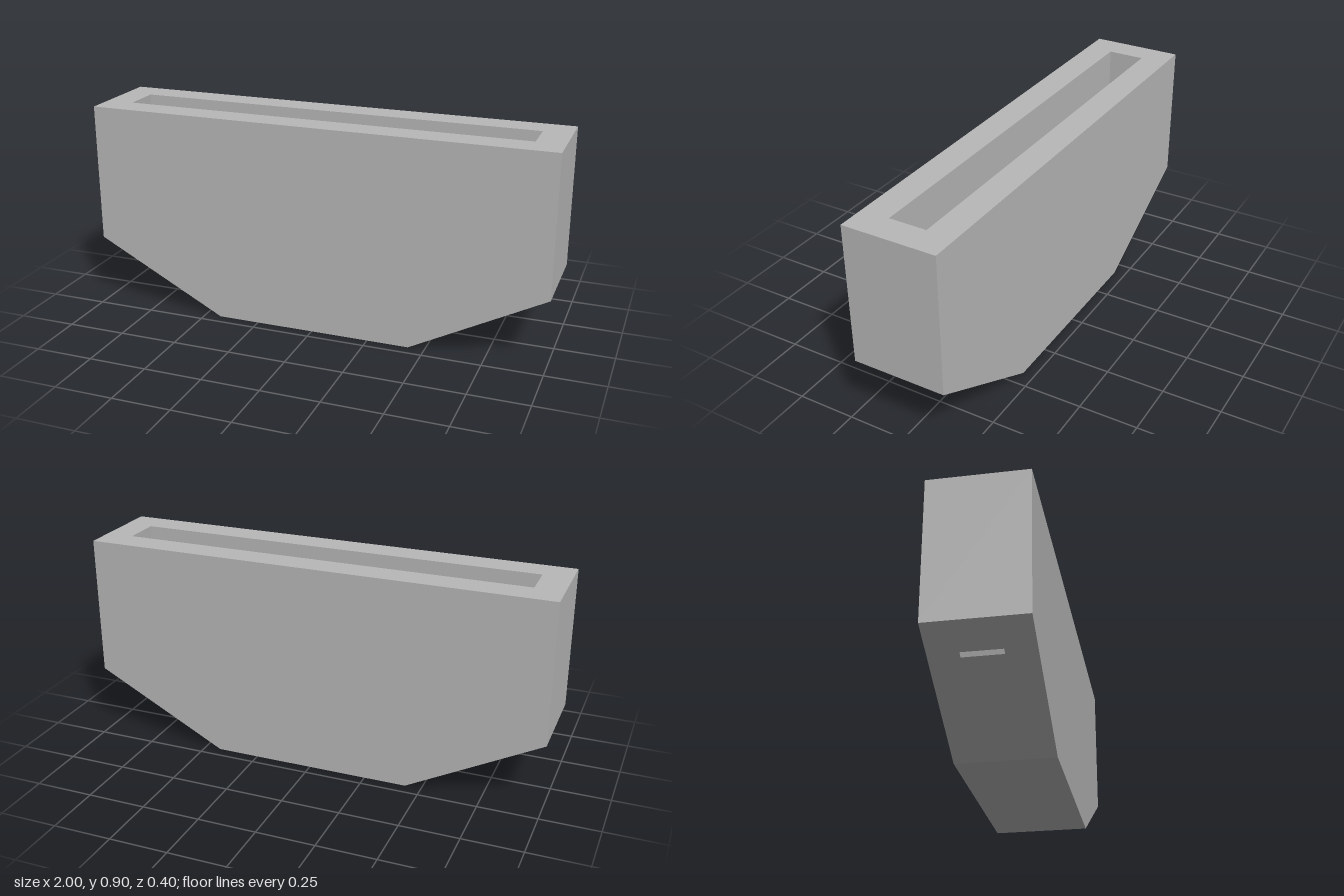
import * as THREE from 'three';
import { mergeGeometries } from 'three/addons/utils/BufferGeometryUtils.js';

// Main dimensions
const W = 1, H = 0.9, D = 0.2;          // half width, height, half depth
const SHOULDER = 0.3, FOOT = 0.43;      // start of the slope, half width of the base
const CX = 0.88, CZ = 0.08;             // half size of the pocket
const SX = 0.86;                        // half width of the pocket floor
const slopeY = x => SHOULDER * (x - FOOT) / (W - FOOT);
const FLOOR = slopeY(SX);

const rect = (u0, u1, v0, v1) => [[u0, v0], [u1, v0], [u1, v1], [u0, v1]];
const vecs = pts => pts.map(p => new THREE.Vector2(...p));

// Flat face: a 2D outline with an optional hole, placed in space by map(u, v) and facing dir
function face(outline, map, dir, hole) {
  const shape = new THREE.Shape(vecs(outline));
  if (hole) shape.holes.push(new THREE.Path(vecs(hole)));
  const g = new THREE.ShapeGeometry(shape);
  const p = g.attributes.position;
  for (let i = 0; i < p.count; i++) p.setXYZ(i, ...map(p.getX(i), p.getY(i)));
  g.computeVertexNormals();
  const n = new THREE.Vector3().fromBufferAttribute(g.attributes.normal, 0);
  if (n.dot(new THREE.Vector3(...dir)) < 0) {
    g.setIndex(Array.from(g.index.array).reverse());
    g.computeVertexNormals();
  }
  return g;
}

export function createModel() {
  const group = new THREE.Group();
  const grey = new THREE.MeshStandardMaterial({ color: 0xb8b8b8 });
  grey.name = 'plain grey';
  const add = (name, faces) => {
    const mesh = new THREE.Mesh(mergeGeometries(faces), grey);
    mesh.name = name;
    group.add(mesh);
  };

  const outline = [[-FOOT, 0], [FOOT, 0], [W, SHOULDER], [W, H], [-W, H], [-W, SHOULDER]];
  const pocket = [[-SX, FLOOR], [SX, FLOOR], [CX, slopeY(CX)], [CX, H], [-CX, H], [-CX, slopeY(CX)]];
  const flat = y => (u, v) => [u, y, v];

  // Outer shell: rim and base, then the mirrored panels, ends and slotted slopes
  const shell = [
    face(rect(-W, W, -D, D), flat(H), [0, 1, 0], rect(-CX, CX, -CZ, CZ)),
    face(rect(-FOOT, FOOT, -D, D), flat(0), [0, -1, 0]),
  ];
  // Pocket: floor, then the mirrored walls
  const lining = [face(rect(-SX, SX, -CZ, CZ), flat(FLOOR), [0, 1, 0])];

  for (const s of [-1, 1]) {
    shell.push(
      face(outline, (u, v) => [u, v, s * D], [0, 0, s]),
      face(rect(-D, D, SHOULDER, H), (u, v) => [s * W, v, u], [s, 0, 0]),
      face(rect(FOOT, W, -D, D), (u, v) => [s * u, slopeY(u), v], [s, -1, 0],
        rect(SX, CX, -CZ, CZ)),
    );
    lining.push(
      face(pocket, (u, v) => [u, v, s * CZ], [0, 0, -s]),
      face(rect(-CZ, CZ, slopeY(CX), H), (u, v) => [s * CX, v, u], [-s, 0, 0]),
    );
  }
  add('shell', shell);
  add('pocket', lining);
  return group;
}
